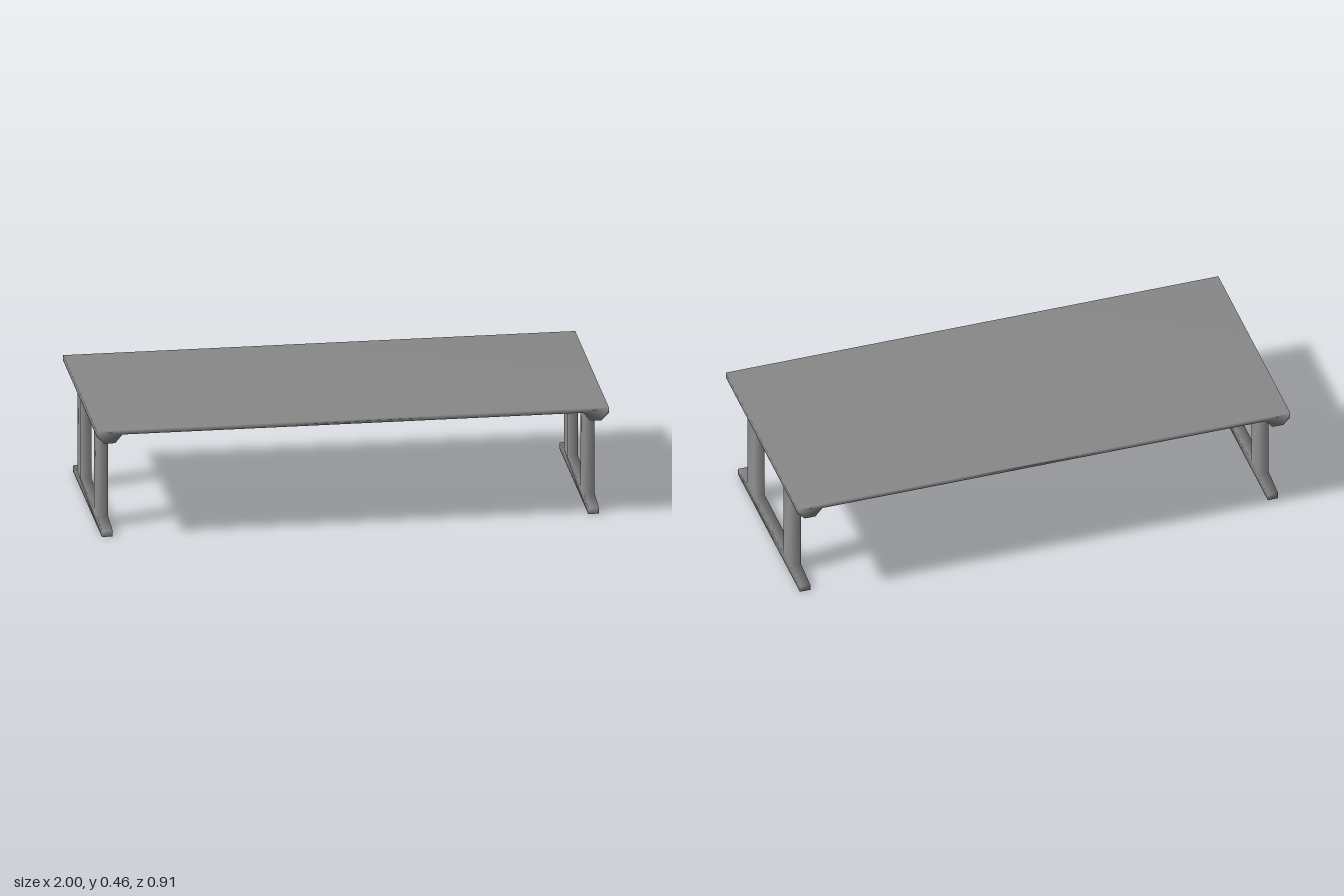
import * as THREE from 'three';
import { mergeVertices } from 'three/addons/utils/BufferGeometryUtils.js';

const material = new THREE.MeshStandardMaterial({ color: 0x878787 });

// Extrudes a profile along z, centred, with normals blended across its edges
function softExtrude(points, depth) {
  const shape = new THREE.Shape(points.map(([x, y]) => new THREE.Vector2(x, y)));
  const geometry = new THREE.ExtrudeGeometry(shape, { depth, bevelEnabled: false });
  geometry.translate(0, 0, -depth / 2);
  geometry.deleteAttribute('normal');
  geometry.deleteAttribute('uv');
  const merged = mergeVertices(geometry);
  merged.computeVertexNormals();
  return merged;
}

// Completes a symmetric outline from its right half, listed bottom to top
function mirrored(half) {
  return [...half, ...half.map(([x, y]) => [-x, y]).reverse()];
}

export function createModel() {
  const table = new THREE.Group();
  table.name = 'table';

  const height = 0.455, underside = 0.437, railBottom = 0.403, footHeight = 0.04;
  const legX = 0.95, legThickness = 0.042;

  // Flat top with a tapered rail under each end
  const top = new THREE.Mesh(softExtrude(mirrored([
    [0.9, underside], [0.928, railBottom], [0.972, railBottom],
    [1, underside - 0.005], [1, height],
  ]), 0.91), material);
  top.name = 'tableTop';
  table.add(top);

  // Leg frames: two flat posts rising from a floor runner with sloping ends
  const frameGeometry = softExtrude(mirrored([
    [0.393, 0], [0.393, 0.024], [0.272, footHeight], [0.272, railBottom],
    [0.185, railBottom], [0.185, footHeight],
  ]), legThickness).rotateY(-Math.PI / 2);

  for (const side of [-1, 1]) {
    const frame = new THREE.Mesh(frameGeometry, material);
    frame.name = side > 0 ? 'leftLegFrame' : 'rightLegFrame';
    frame.position.x = side * legX;
    table.add(frame);
  }

  return table;
}
